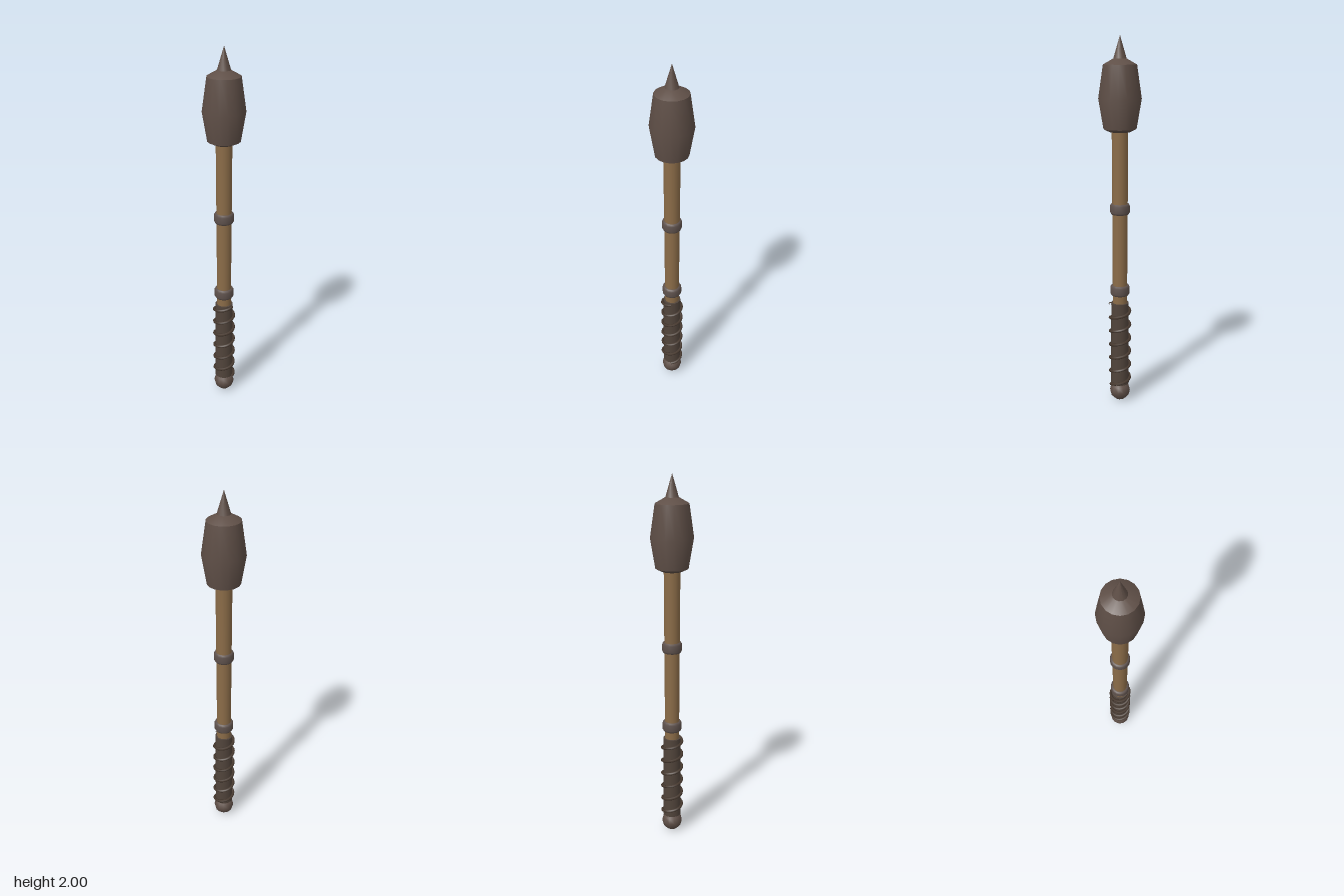
import * as THREE from 'three';

const mat = (name, color) => {
  const m = new THREE.MeshStandardMaterial({ color });
  m.name = name;
  return m;
};

// Spiral cord wound round the grip
class Helix extends THREE.Curve {
  constructor(radius, y0, y1, turns) {
    super();
    Object.assign(this, { radius, y0, y1, turns });
  }
  getPoint(t, target = new THREE.Vector3()) {
    const a = t * this.turns * Math.PI * 2;
    return target.set(
      this.radius * Math.cos(a),
      this.y0 + (this.y1 - this.y0) * t,
      -this.radius * Math.sin(a)
    );
  }
}

export function createModel() {
  const group = new THREE.Group();
  const iron = mat('dark iron', 0x5f4f47);
  const bandIron = mat('band iron', 0x5f524d);
  const wood = mat('wood', 0x8b6c48);
  const leather = mat('grip leather', 0x51443b);
  const cord = mat('cord', 0x47392f);

  const add = (name, geometry, material, y = 0, parent = group) => {
    const mesh = new THREE.Mesh(geometry, material);
    mesh.name = name;
    mesh.position.y = y;
    parent.add(mesh);
    return mesh;
  };
  const lathe = (points, sides = 16) =>
    new THREE.LatheGeometry(points.map(([r, y]) => new THREE.Vector2(r, y)), sides);

  // Pommel, grip and cord
  add('pommel', new THREE.SphereGeometry(0.057, 12, 6), iron, 0.056);
  add('grip', new THREE.CylinderGeometry(0.048, 0.05, 0.48, 16), leather, 0.34);
  add('gripCord', new THREE.TubeGeometry(new Helix(0.055, 0.1, 0.575, 6), 150, 0.008, 6), cord);

  // Shaft with two bands
  add('shaft', new THREE.CylinderGeometry(0.043, 0.039, 0.98, 16), wood, 1.05);
  for (const y of [0.653, 1.107]) {
    const band = lathe([
      [0.038, -0.028], [0.047, -0.028], [0.053, -0.017],
      [0.053, 0.017], [0.047, 0.028], [0.038, 0.028],
    ]);
    add('band', band, bandIron, y);
  }

  // Head: separate rings keep the bevel edges sharp
  const head = new THREE.Group();
  head.name = 'head';
  group.add(head);
  add('headUnderside', lathe([[0, 1.515], [0.055, 1.515], [0.086, 1.53]]), iron, 0, head);
  add('headBody', lathe([[0.086, 1.53], [0.112, 1.685], [0.087, 1.855]]), iron, 0, head);
  add('headBevel', lathe([[0.087, 1.855], [0.034, 1.885], [0, 1.886]]), iron, 0, head);

  // Spike on top
  add('spike', new THREE.ConeGeometry(0.036, 0.12, 12), iron, 1.94);

  return group;
}
